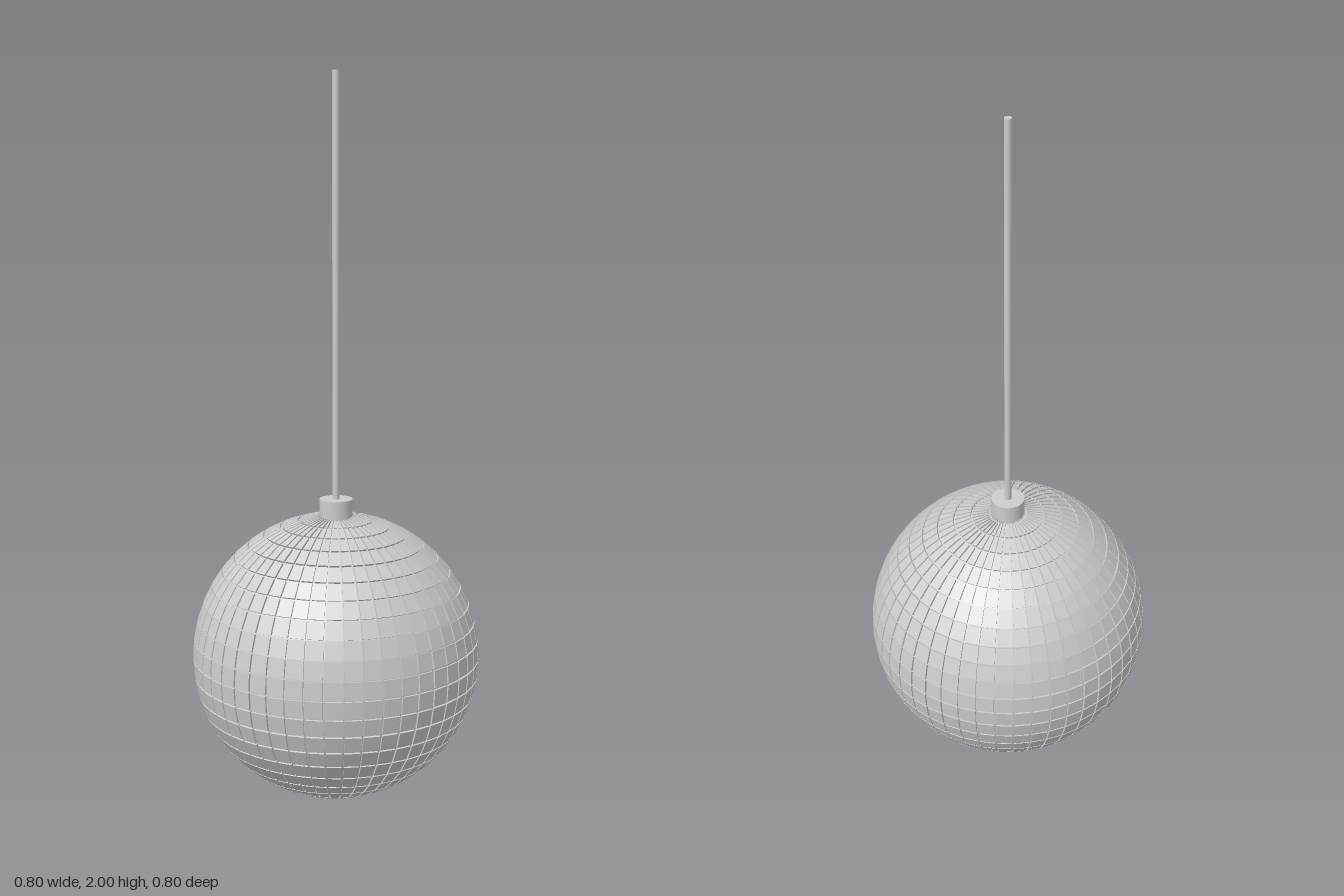
import * as THREE from 'three';

const RADIUS = 0.4, DEPTH = 0.006, HALF_GAP = 0.0025;
const AROUND = 48, ROWS = 24;

function onSphere(theta, phi, r) {
  return new THREE.Vector3(
    r * Math.sin(theta) * Math.sin(phi),
    r * Math.cos(theta),
    r * Math.sin(theta) * Math.cos(phi));
}

// Flat raised tiles separated by narrow grooves
function tileGeometry() {
  const positions = [];
  const quad = (a, b, c, d) => {
    for (const p of [a, b, c, a, c, d]) positions.push(p.x, p.y, p.z);
  };
  const dPhi = 2 * Math.PI / AROUND, dTheta = Math.PI / ROWS;
  const inset = HALF_GAP / RADIUS;
  for (let row = 0; row < ROWS; row++) {
    const t0 = row * dTheta + inset, t1 = (row + 1) * dTheta - inset;
    const s0 = Math.min(inset / Math.sin(t0), dPhi * 0.4);
    const s1 = Math.min(inset / Math.sin(t1), dPhi * 0.4);
    for (let col = 0; col < AROUND; col++) {
      const p0 = col * dPhi, p1 = p0 + dPhi;
      const corners = [[t0, p0 + s0], [t1, p0 + s1], [t1, p1 - s1], [t0, p1 - s0]];
      const outer = corners.map(([t, p]) => onSphere(t, p, RADIUS));
      const inner = corners.map(([t, p]) => onSphere(t, p, RADIUS - DEPTH - 0.001));
      quad(...outer);
      for (let i = 0; i < 4; i++) {
        const j = (i + 1) % 4;
        quad(outer[i], inner[i], inner[j], outer[j]);
      }
    }
  }
  const geometry = new THREE.BufferGeometry();
  geometry.setAttribute('position', new THREE.Float32BufferAttribute(positions, 3));
  geometry.computeVertexNormals();
  return geometry;
}

export function createModel() {
  const model = new THREE.Group();
  model.name = 'mirrorBall';
  const silver = new THREE.MeshStandardMaterial({ color: 0xcccccc });
  silver.name = 'silver';

  const add = (name, geometry, y) => {
    const mesh = new THREE.Mesh(geometry, silver);
    mesh.name = name;
    mesh.position.y = y;
    model.add(mesh);
  };

  // Faceted core forming the groove floors
  const core = new THREE.SphereGeometry(RADIUS - DEPTH, AROUND, ROWS).toNonIndexed();
  core.computeVertexNormals();
  add('ballCore', core, RADIUS);
  add('mirrorTiles', tileGeometry(), RADIUS);

  // Mounting collar and hanging rod
  add('collar', new THREE.CylinderGeometry(0.046, 0.046, 0.06, 32), 0.815);
  add('hangingRod', new THREE.CylinderGeometry(0.01, 0.01, 1.17, 16), 1.415);
  return model;
}
